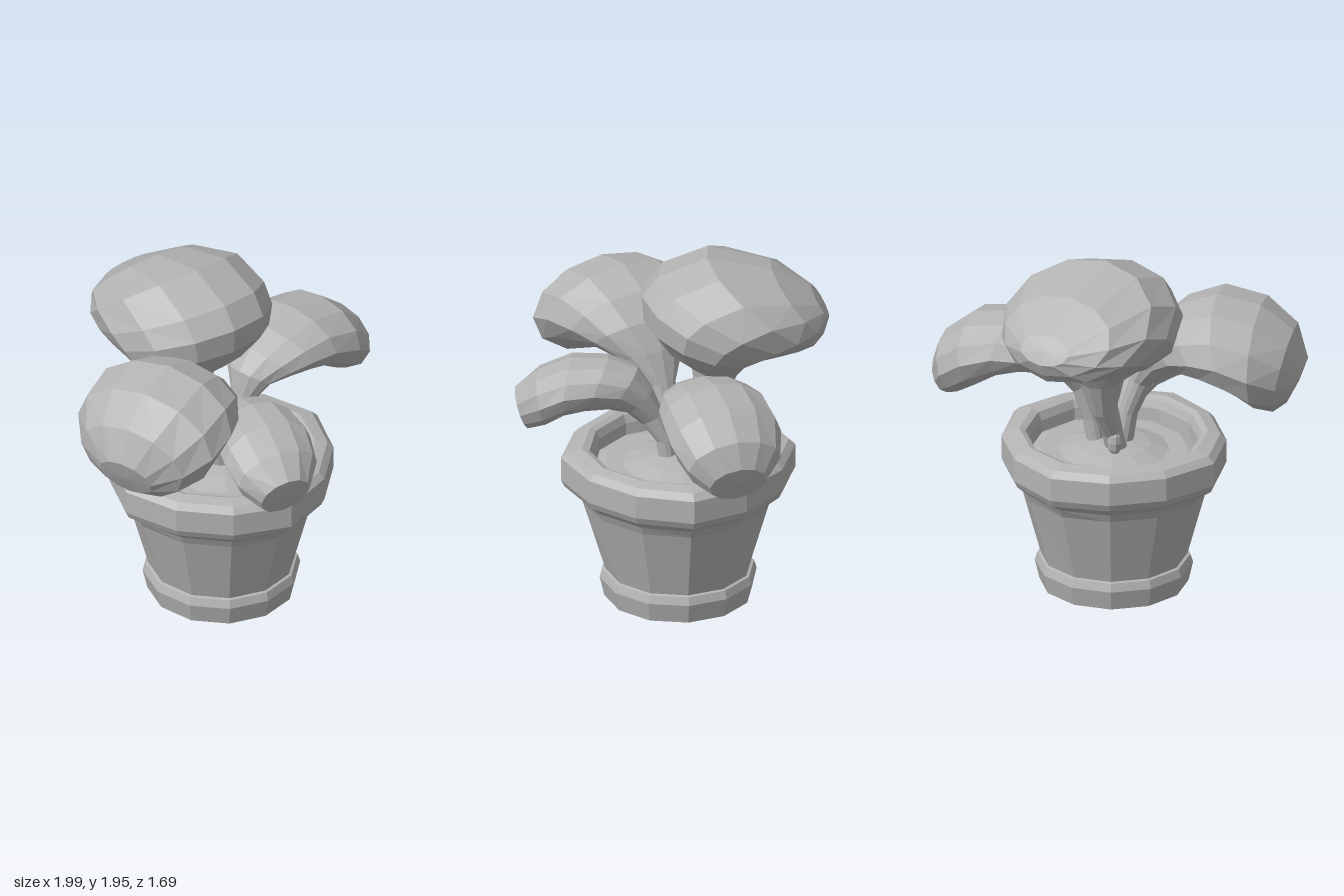
import * as THREE from 'three';

const clay = new THREE.MeshStandardMaterial({ color: 0xb4b4b4, flatShading: true });
clay.name = 'plain grey';

// Revolves a profile into a twelve-sided part; the wide rim is slightly fuller along x and z
function lathe(name, profile) {
  const points = profile.map(([r, y]) => new THREE.Vector2(r, y));
  const geometry = new THREE.LatheGeometry(points, 12);
  const pos = geometry.attributes.position;
  for (let i = 0; i < pos.count; i++) {
    const x = pos.getX(i);
    const z = pos.getZ(i);
    const squeeze = 0.033 * THREE.MathUtils.smoothstep(Math.hypot(x, z), 0.42, 0.62);
    const k = 1 - squeeze * (1 - Math.cos(4 * Math.atan2(x, z)));
    pos.setXYZ(i, x * k, pos.getY(i), z * k);
  }
  geometry.computeVertexNormals();
  const mesh = new THREE.Mesh(geometry, clay);
  mesh.name = name;
  mesh.position.z = -0.02;
  return mesh;
}

// Lofts a stem that swells into a thick leaf. Each section is
// [out at top, height at top, out at bottom, height at bottom, half width],
// where out is measured from the base along the heading.
function leaf(name, { base, heading, roll, sections }) {
  const N = 12;
  const out = new THREE.Vector3(heading[0], 0, heading[1]).normalize();
  const side = new THREE.Vector3(-out.z, roll, out.x);
  const at = (s, y, w) => new THREE.Vector3(base[0], y, base[1])
    .addScaledVector(out, s).addScaledVector(side, w);

  const positions = [];
  for (const [sTop, yTop, sBot, yBot, width] of sections) {
    for (let j = 0; j < N; j++) {
      const a = (j / N) * Math.PI * 2;
      const c = Math.cos(a);
      const s = (sTop + sBot) / 2 + (c * (sTop - sBot)) / 2;
      const y = (yTop + yBot) / 2 + (c * (yTop - yBot)) / 2;
      positions.push(...at(s, y, width * Math.sin(a)).toArray());
    }
  }
  // Closing point at the tip
  const [sTop, yTop, sBot, yBot] = sections[sections.length - 1];
  positions.push(...at((sTop + sBot) / 2 + 0.01, (yTop + yBot) / 2, 0).toArray());

  const index = [];
  const last = sections.length - 1;
  for (let i = 0; i <= last; i++) {
    for (let j = 0; j < N; j++) {
      const p = i * N + j;
      const q = i * N + ((j + 1) % N);
      if (i < last) index.push(p, q, p + N, q, q + N, p + N);
      else index.push(p, q, (last + 1) * N);
    }
  }
  const geometry = new THREE.BufferGeometry();
  geometry.setAttribute('position', new THREE.Float32BufferAttribute(positions, 3));
  geometry.setIndex(index);
  geometry.computeVertexNormals();
  const mesh = new THREE.Mesh(geometry, clay);
  mesh.name = name;
  return mesh;
}

const LEAVES = {
  backLeaf: {
    base: [-0.05, 0], heading: [0, -1], roll: 0,
    sections: [
      [-0.02, 0.72, 0.1, 0.72, 0.06], [0.06, 0.92, 0.17, 0.9, 0.06],
      [0.12, 1.12, 0.27, 1.06, 0.07], [0.1, 1.31, 0.35, 1.26, 0.13],
      [-0.06, 1.45, 0.42, 1.37, 0.29], [-0.16, 1.6, 0.5, 1.4, 0.41],
      [-0.17, 1.74, 0.6, 1.42, 0.45], [-0.08, 1.85, 0.7, 1.44, 0.465],
      [0.18, 1.945, 0.77, 1.46, 0.44], [0.53, 1.86, 0.81, 1.51, 0.33],
      [0.75, 1.72, 0.84, 1.58, 0.15],
    ],
  },
  rightLeaf: {
    base: [0, 0], heading: [-0.93, 0.37], roll: 0,
    sections: [
      [-0.03, 0.72, 0.08, 0.72, 0.06], [0.02, 1.0, 0.12, 0.98, 0.06],
      [0.08, 1.2, 0.2, 1.16, 0.08], [0.14, 1.37, 0.32, 1.26, 0.18],
      [0.22, 1.52, 0.45, 1.29, 0.3], [0.35, 1.64, 0.56, 1.26, 0.38],
      [0.55, 1.715, 0.68, 1.2, 0.435], [0.79, 1.67, 0.79, 1.12, 0.425],
      [0.97, 1.54, 0.88, 1.09, 0.32], [1.04, 1.36, 0.94, 1.13, 0.16],
    ],
  },
  leftLeaf: {
    base: [0, -0.03], heading: [0.97, -0.19], roll: 0,
    sections: [
      [0.03, 0.72, 0.13, 0.72, 0.05], [0.08, 0.95, 0.17, 0.93, 0.05],
      [0.13, 1.15, 0.22, 1.08, 0.07], [0.15, 1.28, 0.3, 1.17, 0.14],
      [0.24, 1.38, 0.4, 1.19, 0.22], [0.38, 1.45, 0.5, 1.18, 0.27],
      [0.57, 1.49, 0.62, 1.14, 0.3], [0.8, 1.45, 0.74, 1.06, 0.31],
      [0.96, 1.32, 0.84, 1.0, 0.26], [1.01, 1.18, 0.92, 0.97, 0.16],
    ],
  },
  frontLeaf: {
    base: [0.01, 0], heading: [-0.23, 1], roll: -0.08,
    sections: [
      [-0.03, 0.72, 0.08, 0.72, 0.06], [0, 0.92, 0.1, 0.9, 0.06],
      [0.06, 1.07, 0.18, 1.0, 0.07], [0.12, 1.2, 0.26, 1.07, 0.12],
      [0.2, 1.32, 0.36, 1.09, 0.18], [0.36, 1.375, 0.48, 1.08, 0.23],
      [0.56, 1.37, 0.59, 1.05, 0.25], [0.74, 1.29, 0.68, 0.99, 0.23],
      [0.86, 1.18, 0.78, 0.95, 0.14],
    ],
  },
};

export function createModel() {
  const model = new THREE.Group();
  model.name = 'pottedPlant';

  // Pot with a foot ring, tapered body and thick rolled rim
  model.add(lathe('pot', [
    [0, 0], [0.4, 0], [0.425, 0.11], [0.41, 0.155], [0.395, 0.16],
    [0.515, 0.56], [0.545, 0.61], [0.615, 0.66], [0.635, 0.7],
    [0.635, 0.83], [0.6, 0.865], [0.52, 0.88], [0.48, 0.865],
    [0.46, 0.82], [0.45, 0.68],
  ]));

  // Mounded soil
  model.add(lathe('soil', [
    [0.47, 0.75], [0.4, 0.77], [0.3, 0.77], [0.2, 0.805], [0.1, 0.825], [0, 0.835],
  ]));

  // Four leaves with their stems
  for (const [name, spec] of Object.entries(LEAVES)) model.add(leaf(name, spec));

  // Small bud at the foot of the stems
  const bud = new THREE.Mesh(new THREE.SphereGeometry(0.04, 8, 6), clay);
  bud.name = 'bud';
  bud.scale.y = 2;
  bud.position.set(-0.08, 0.87, -0.14);
  model.add(bud);

  return model;
}
